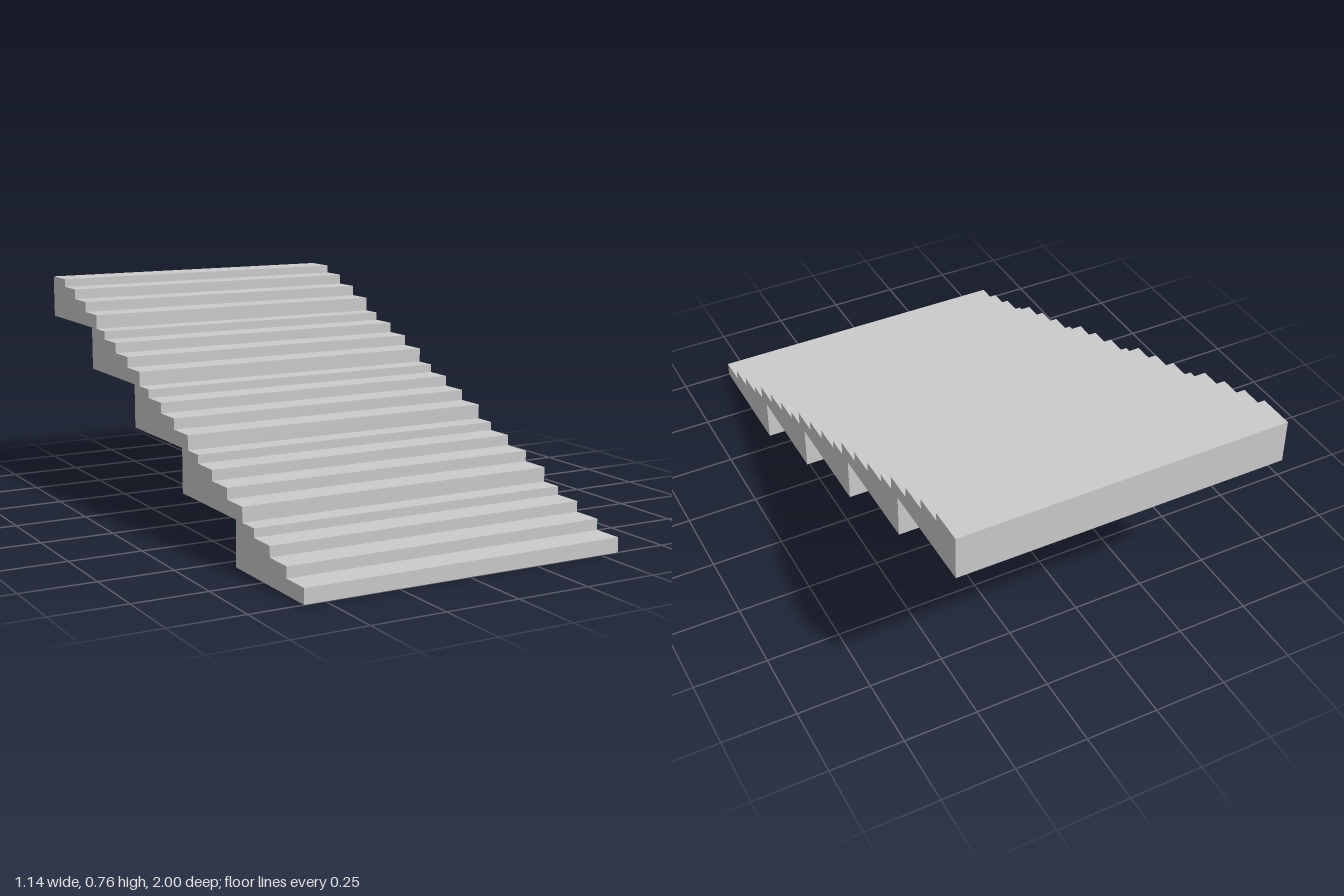
import * as THREE from 'three';

const WIDTH = 1.14;
const BLOCKS = 5;
const RUN = 0.391;   // offset between blocks
const RISE = 0.152;
const DEPTH = 0.436; // each block tucks under the next one
const STEP_STARTS = [0, 0.106, 0.211, 0.314];
const STEP_TOPS = [0.05, 0.087, 0.123, 0.152];

// Stepped side profile of one block, running from front to back
function blockGeometry() {
  const shape = new THREE.Shape();
  shape.moveTo(0, 0);
  shape.lineTo(DEPTH, 0);
  shape.lineTo(DEPTH, STEP_TOPS[3]);
  for (let i = 3; i >= 0; i--) {
    shape.lineTo(STEP_STARTS[i], STEP_TOPS[i]);
    if (i > 0) shape.lineTo(STEP_STARTS[i], STEP_TOPS[i - 1]);
  }
  shape.closePath();
  const geometry = new THREE.ExtrudeGeometry(shape, { depth: WIDTH, bevelEnabled: false });
  geometry.translate(0, 0, -WIDTH / 2);
  geometry.rotateY(Math.PI / 2); // profile x becomes -z
  return geometry;
}

export function createModel() {
  const group = new THREE.Group();
  group.name = 'staircase';
  const material = new THREE.MeshStandardMaterial({ color: 0xcccccc, flatShading: true });
  const geometry = blockGeometry();

  // Flight of identical four-step blocks
  for (let i = 0; i < BLOCKS; i++) {
    const block = new THREE.Mesh(geometry, material);
    block.name = `stepBlock${i + 1}`;
    block.position.set(0, i * RISE, 1 - i * RUN);
    group.add(block);
  }
  return group;
}
